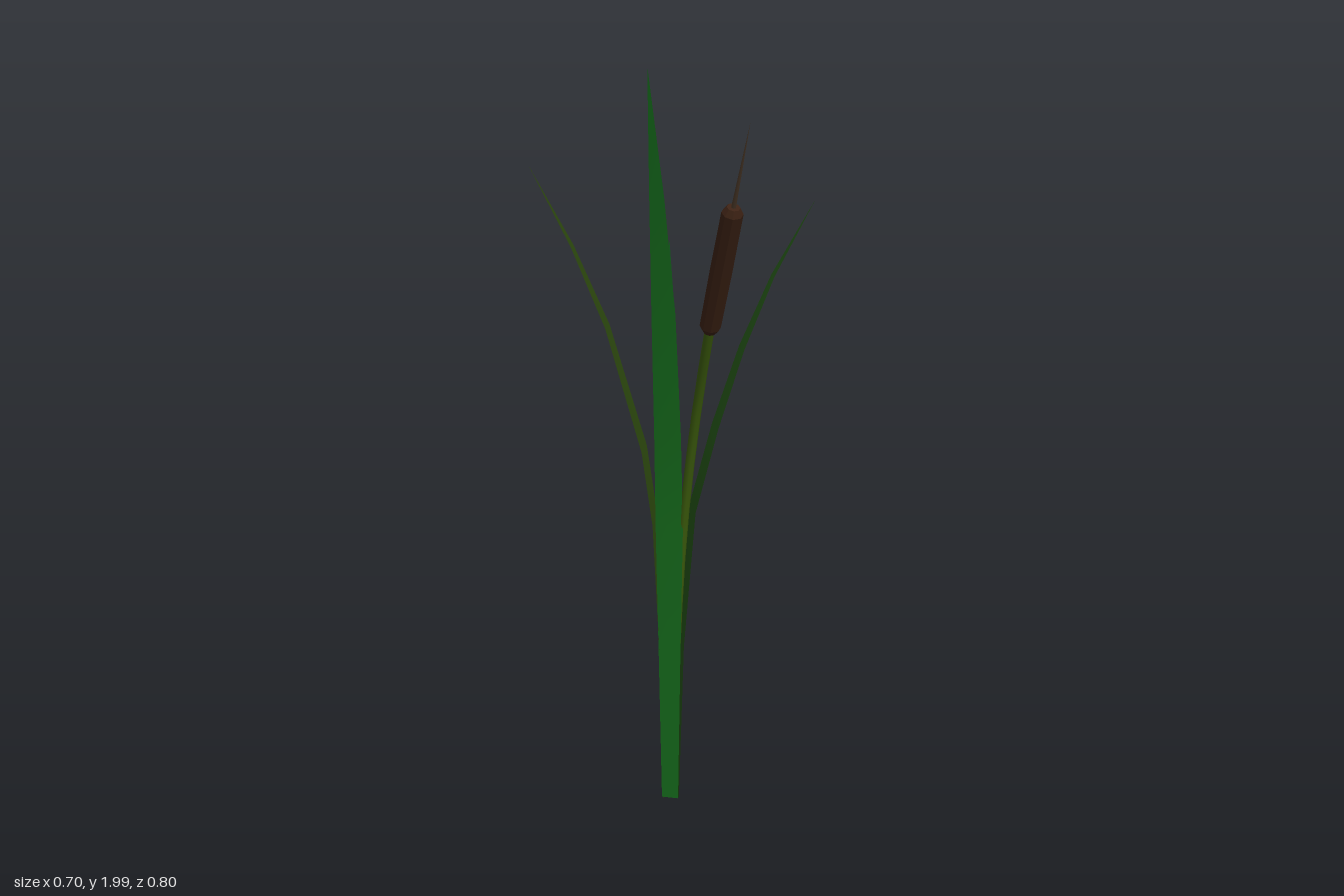
import * as THREE from 'three';

const V = (p) => new THREE.Vector3(...p);
const UP = new THREE.Vector3(0, 1, 0);

const material = (color, flatShading = false) =>
  new THREE.MeshStandardMaterial({ color, flatShading, side: THREE.DoubleSide });

function addMesh(group, name, geometry, mat) {
  const mesh = new THREE.Mesh(geometry, mat);
  mesh.name = name;
  group.add(mesh);
  return mesh;
}

// Thin leaf: rows of [x, y, z, width], spread along a horizontal side direction
function bladeGeometry(rows, angle) {
  const side = new THREE.Vector3(Math.cos(angle), 0, Math.sin(angle));
  const positions = [], index = [];
  rows.forEach(([x, y, z, width], i) => {
    for (const s of [-0.5, 0.5]) {
      positions.push(x + side.x * width * s, y, z + side.z * width * s);
    }
    if (i > 0) {
      const a = 2 * i - 2;
      index.push(a, a + 1, a + 3, a, a + 3, a + 2);
    }
  });
  const geometry = new THREE.BufferGeometry();
  geometry.setAttribute('position', new THREE.Float32BufferAttribute(positions, 3));
  geometry.setIndex(index);
  geometry.computeVertexNormals();
  return geometry;
}

// Points a mesh modelled along +y from one point towards another
function aim(mesh, from, to) {
  mesh.position.copy(from);
  mesh.quaternion.setFromUnitVectors(UP, to.clone().sub(from).normalize());
}

export function createModel() {
  const group = new THREE.Group();
  group.name = 'reedPlant';

  // Four leaves fanning outward from the base
  const blades = [
    { name: 'frontBlade', color: 0x14661a, angle: 0.27, rows: [
      [-0.008, 0.012, -0.055, 0.045], [-0.009, 0.4, -0.053, 0.058], [-0.01, 0.8, -0.045, 0.073],
      [-0.015, 1.05, -0.025, 0.07], [-0.027, 1.38, 0.025, 0.061], [-0.045, 1.68, 0.085, 0.037],
      [-0.068, 1.99, 0.157, 0.001]] },
    { name: 'backBlade', color: 0x0f4a18, angle: Math.PI, rows: [
      [0, 0, -0.105, 0.035], [0, 0.45, -0.115, 0.045], [0, 0.8, -0.145, 0.057],
      [0.001, 0.99, -0.195, 0.05], [0.003, 1.27, -0.29, 0.03], [0.006, 1.48, -0.4, 0.001]] },
    { name: 'rightBlade', color: 0x2c480e, angle: Math.PI / 2 + 0.23, rows: [
      [-0.022, 0, -0.09, 0.036], [-0.03, 0.45, -0.086, 0.055], [-0.045, 0.8, -0.081, 0.073],
      [-0.073, 1, -0.077, 0.068], [-0.165, 1.33, -0.06, 0.05], [-0.25, 1.54, -0.037, 0.03],
      [-0.35, 1.74, -0.01, 0.001]] },
    { name: 'leftBlade', color: 0x225216, angle: -Math.PI / 2 - 0.23, rows: [
      [0.013, 0, -0.092, 0.036], [0.024, 0.45, -0.091, 0.05], [0.052, 0.83, -0.087, 0.062],
      [0.11, 1.06, -0.077, 0.056], [0.175, 1.27, -0.063, 0.045], [0.25, 1.46, -0.045, 0.026],
      [0.347, 1.65, -0.02, 0.001]] },
  ];
  for (const { name, color, angle, rows } of blades) {
    addMesh(group, name, bladeGeometry(rows, angle), material(color));
  }

  // Bending round stalk
  const headBase = V([0.08, 1.36, 0.13]);
  const headTop = V([0.124, 1.692, 0.293]);
  const stalkPath = new THREE.CatmullRomCurve3([
    V([0, 0, -0.095]), V([0.008, 0.4, -0.083]), V([0.027, 0.8, -0.047]),
    V([0.058, 1.15, 0.035]), headBase.clone().lerp(headTop, 0.05),
  ]);
  addMesh(group, 'stalk', new THREE.TubeGeometry(stalkPath, 10, 0.012, 8), material(0x3c5c0c));

  // Seed head with bevelled ends
  const length = headBase.distanceTo(headTop);
  const profile = [[0, 0], [0.016, 0], [0.026, 0.017], [0.027, length / 2],
    [0.026, length - 0.017], [0.016, length], [0, length]]
    .map(([r, y]) => new THREE.Vector2(r, y));
  const head = addMesh(group, 'seedHead', new THREE.LatheGeometry(profile, 8), material(0x3c2214, true));
  aim(head, headBase, headTop);

  // Fine spike above the seed head
  const tip = V([0.152, 1.9, 0.395]);
  const height = headTop.distanceTo(tip);
  const spikeGeometry = new THREE.ConeGeometry(0.006, height, 6).translate(0, height / 2, 0);
  const spike = addMesh(group, 'spike', spikeGeometry, material(0x4a3828));
  aim(spike, headTop, tip);

  return group;
}
